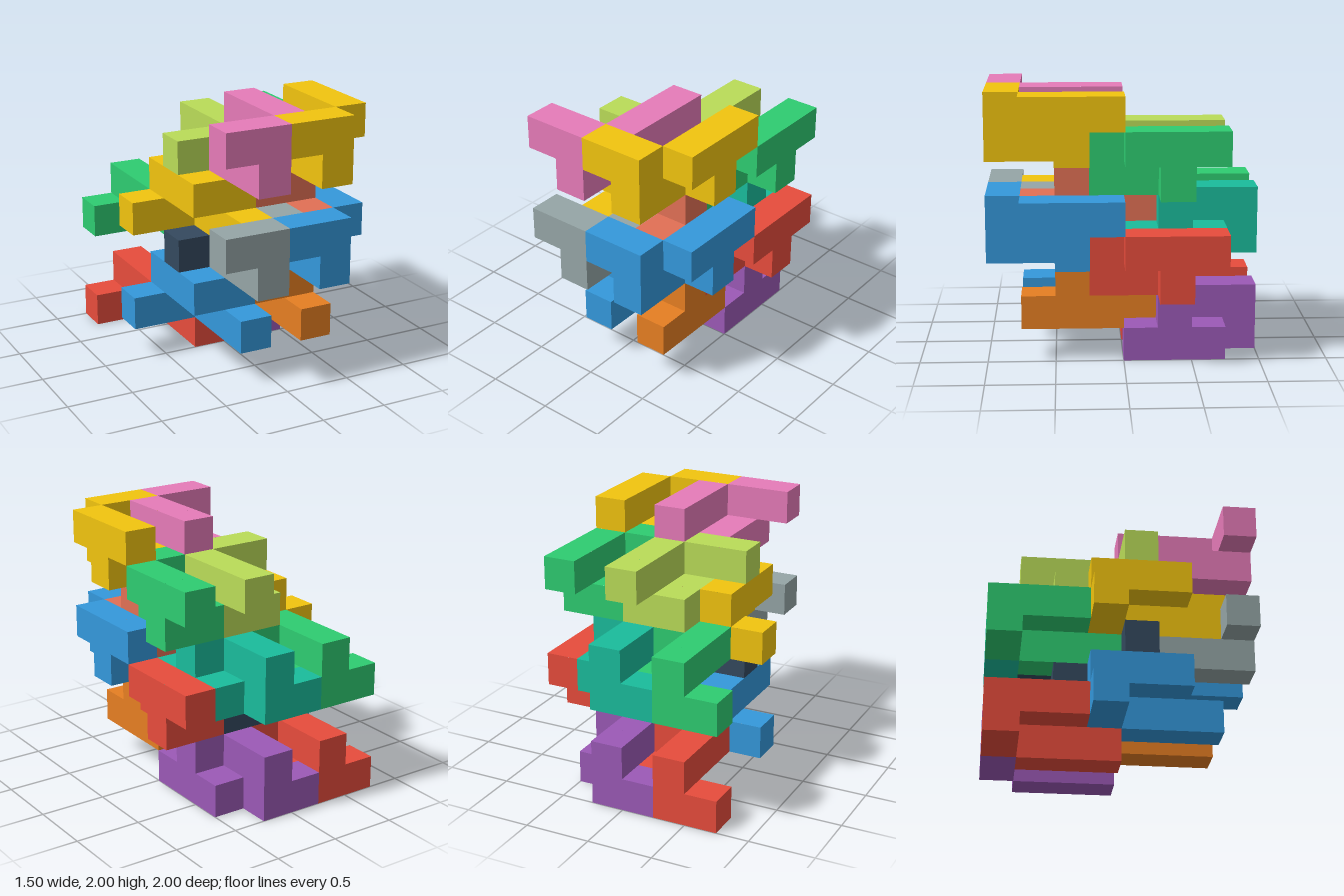
import * as THREE from 'three';
import { mergeGeometries } from 'three/addons/utils/BufferGeometryUtils.js';

const S = 0.25; // edge of one cube cell

// One interlocking piece, as cells counted from the stem of its T:
// a T-shaped bar, an arm along z, and a hooked end.
const PIECE = [
  [0, 1, -1], [0, 1, 0], [0, 1, 1], [0, 0, 0],
  [-1, 0, 0], [-1, 0, 1], [-1, 0, 2],
  [-1, 1, 2], [-2, 1, 2],
];
// The same piece turned half way round the x axis
const TURNED = PIECE.map(([x, y, z]) => [x, -y, -z]);

const SIDES = [[1, 0, 0], [-1, 0, 0], [0, 1, 0], [0, -1, 0], [0, 0, 1], [0, 0, -1]];

// Outer skin of a set of cells: one square wherever a cell has no neighbour
function skin(cells) {
  const filled = new Set(cells.map(String));
  const faces = [];
  for (const cell of cells) {
    for (const side of SIDES) {
      if (filled.has(String(cell.map((c, n) => c + side[n])))) continue;
      const direction = new THREE.Vector3(...side);
      const centre = new THREE.Vector3(...cell).addScaledVector(direction, 0.5).multiplyScalar(S);
      faces.push(new THREE.PlaneGeometry(S, S).lookAt(direction).translate(centre.x, centre.y, centre.z));
    }
  }
  return mergeGeometries(faces);
}

// Each row: name, turned or not, stem cell [x, y, z], colour
const LAYOUT = [
  // lower tier, turned pieces
  ['lowerOrangePiece', true, [4, 2, 5], 0xe67e22],
  ['lowerBluePiece', true, [2, 2, 5], 0x3498db],
  ['lowerPurplePiece', true, [4, 1, 2], 0x9b59b6],
  ['lowerRedPiece', true, [2, 1, 2], 0xe74c3c],
  // middle tier, upright pieces
  ['middleBluePiece', false, [5, 3, 5], 0x3498db],
  ['middleGreyPiece', false, [3, 3, 5], 0x95a5a6],
  ['middleRedPiece', false, [5, 2, 2], 0xe74c3c],
  ['middleDarkPiece', false, [3, 2, 2], 0x34495e],
  // middle tier, turned pieces
  ['middleSalmonPiece', true, [4, 5, 5], 0xe17055],
  ['middleGoldPiece', true, [2, 5, 5], 0xf1c40f],
  ['middleTealPiece', true, [4, 4, 2], 0x1abc9c],
  ['middleGreenPiece', true, [2, 4, 2], 0x2ecc71],
  // upper tier, upright pieces
  ['upperGoldPiece', false, [5, 6, 5], 0xf1c40f],
  ['upperPinkPiece', false, [3, 6, 5], 0xe67bb8],
  ['upperGreenPiece', false, [5, 5, 2], 0x2ecc71],
  ['upperLimePiece', false, [3, 5, 2], 0xbadc58],
];

export function createModel() {
  const model = new THREE.Group();
  model.name = 'interlockingBlocks';
  const upright = skin(PIECE);
  const turned = skin(TURNED);

  for (const [name, isTurned, [x, y, z], color] of LAYOUT) {
    const piece = new THREE.Mesh(isTurned ? turned : upright, new THREE.MeshStandardMaterial({ color }));
    piece.name = name;
    // The grid is 6 x 8 x 8 cells, standing on y = 0
    piece.position.set((x - 2.5) * S, (y + 0.5) * S, (z - 3.5) * S);
    model.add(piece);
  }
  return model;
}
